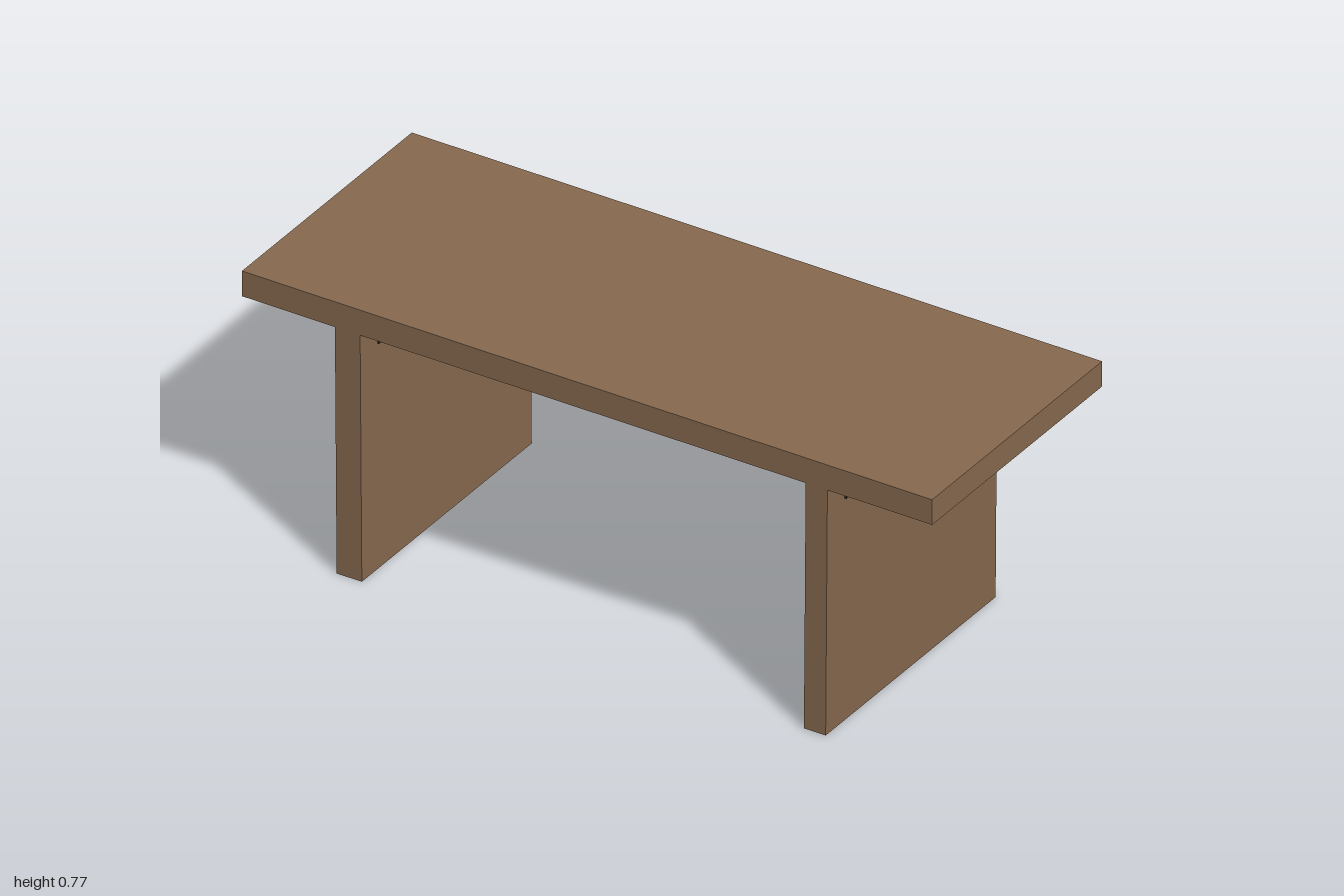
import * as THREE from 'three';

const TOP_Y = 0.775, UNDER_Y = 0.703, DEPTH = 0.772;

export function createModel() {
  const wood = new THREE.MeshStandardMaterial({ color: 0x87694e });
  wood.name = 'brown wood';
  const metal = new THREE.MeshStandardMaterial({ color: 0x2b2b2b });
  metal.name = 'black metal';

  const model = new THREE.Group();
  model.name = 'bench';

  const add = (parent, name, geometry, material, x, y, z) => {
    const mesh = new THREE.Mesh(geometry, material);
    mesh.name = name;
    mesh.position.set(x, y, z);
    parent.add(mesh);
    return mesh;
  };

  // Seat slab
  add(model, 'seat', new THREE.BoxGeometry(2, TOP_Y - UNDER_Y, DEPTH), wood,
    0, (TOP_Y + UNDER_Y) / 2, 0);

  // Slab leg that leans slightly between its foot and its top
  function addLeg(name, topX, footX, width) {
    const geometry = new THREE.BoxGeometry(width, UNDER_Y, DEPTH);
    const p = geometry.attributes.position;
    for (let i = 0; i < p.count; i++) {
      p.setX(i, p.getX(i) + (p.getY(i) > 0 ? topX : footX));
    }
    geometry.computeVertexNormals();
    add(model, name, geometry, wood, 0, UNDER_Y / 2, 0);
  }

  // Angle bracket whose flange reaches out along +x from the leg face
  const T = 0.006, FLANGE = 0.068, DROP = 0.063, LENGTH = 0.616;
  const profile = new THREE.Shape([
    [0, 0], [FLANGE, 0], [FLANGE, -T], [T, -T], [T, -DROP], [0, -DROP],
  ].map(([x, y]) => new THREE.Vector2(x, y)));
  const angleGeometry = new THREE.ExtrudeGeometry(profile, { depth: LENGTH, bevelEnabled: false });
  angleGeometry.translate(0, 0, -LENGTH / 2);

  // Domed screw head, flat side at its origin
  const screwGeometry = new THREE.SphereGeometry(0.015, 20, 6, 0, Math.PI * 2, 0, Math.PI / 2);
  screwGeometry.scale(1, 0.55, 1);

  function addBracket(name, x, turned) {
    const bracket = new THREE.Group();
    bracket.name = name;
    bracket.position.set(x, UNDER_Y, 0);
    if (turned) bracket.rotation.y = Math.PI;
    add(bracket, 'angleIron', angleGeometry, metal, 0, 0, 0);
    for (const z of [-0.256, 0, 0.256]) {
      add(bracket, 'legScrew', screwGeometry, metal, T, -0.04, z).rotation.z = -Math.PI / 2;
      add(bracket, 'seatScrew', screwGeometry, metal, 0.042, -T + 0.003, z).rotation.x = Math.PI;
    }
    model.add(bracket);
  }

  // Two legs, each held by a bracket on both faces
  const legs = [
    { side: 'right', top: -0.694, foot: -0.689, width: 0.073 },
    { side: 'left', top: 0.665, foot: 0.66, width: 0.063 },
  ];
  for (const { side, top, foot, width } of legs) {
    addLeg(side + 'Leg', top, foot, width);
    addBracket(side + 'LegBracketA', top + width / 2 - 0.001, false);
    addBracket(side + 'LegBracketB', top - width / 2 + 0.001, true);
  }
  return model;
}
